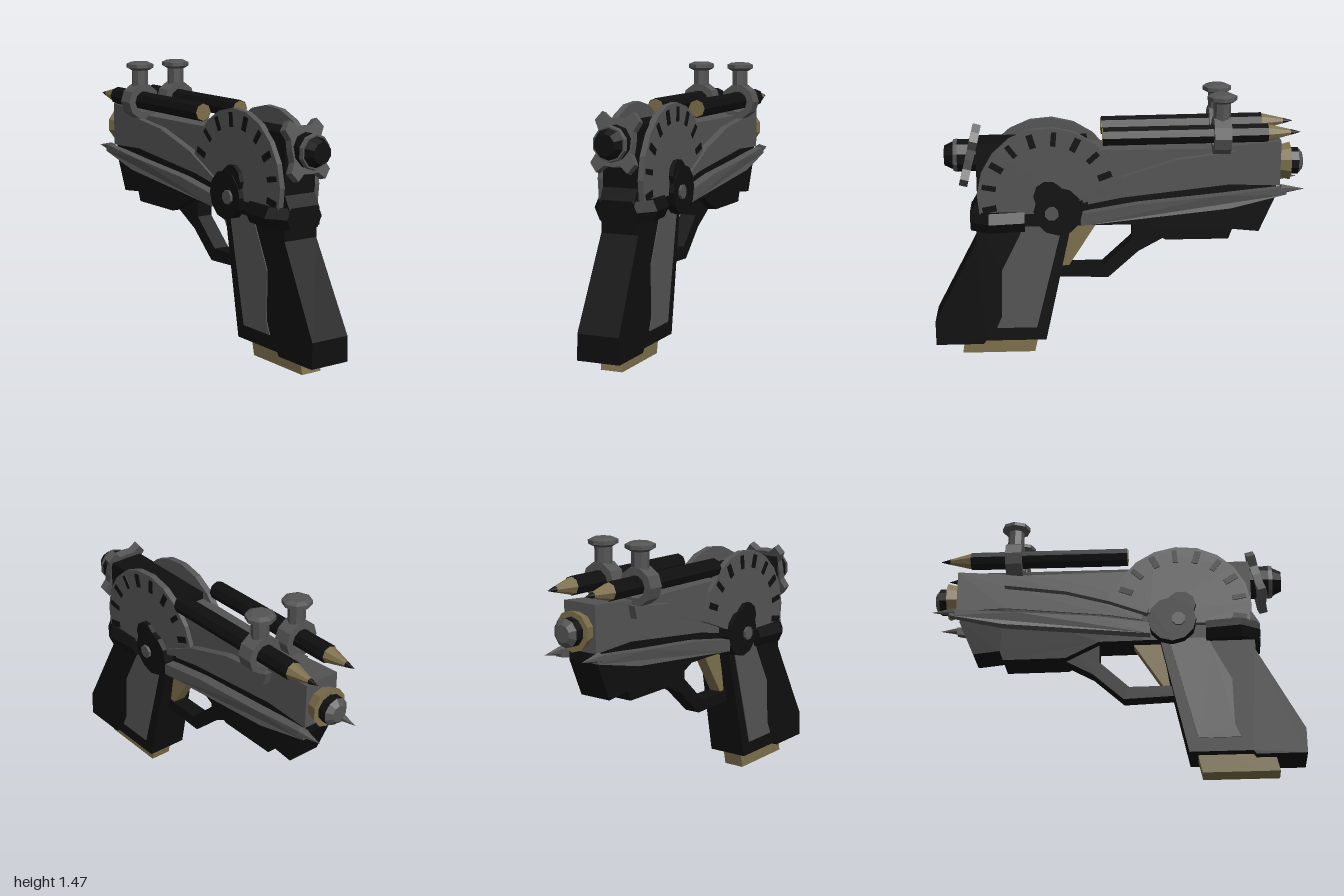
import * as THREE from 'three';

const black = new THREE.MeshStandardMaterial({ color: 0x0f0f0f });
black.name = 'black';
const grey = new THREE.MeshStandardMaterial({ color: 0x545454 });
grey.name = 'grey';
const tan = new THREE.MeshStandardMaterial({ color: 0x7d704c });
tan.name = 'tan';

export function createModel() {
  const model = new THREE.Group();
  model.name = 'pistol';

  // Adds a faceted mesh; an optional rule moves each vertex first
  function add(name, geometry, material, rule) {
    const g = geometry.index ? geometry.toNonIndexed() : geometry;
    if (rule) {
      const p = g.attributes.position, v = new THREE.Vector3();
      for (let i = 0; i < p.count; i++) {
        rule(v.fromBufferAttribute(p, i));
        p.setXYZ(i, v.x, v.y, v.z);
      }
    }
    g.computeVertexNormals();
    const mesh = new THREE.Mesh(g, material);
    mesh.name = name;
    model.add(mesh);
    return mesh;
  }

  // Side profile of [z, y] points, extruded from x0 to x1
  function profile(points, x0, x1) {
    const shape = new THREE.Shape(points.map(([z, y]) => new THREE.Vector2(-z, y)));
    return new THREE.ExtrudeGeometry(shape, { depth: x1 - x0, bevelEnabled: false })
      .translate(0, 0, x0).rotateY(Math.PI / 2);
  }
  const slab = (points, half) => profile(points, -half, half);
  const plate = (points, s, a, b) => profile(points, Math.min(s * a, s * b), Math.max(s * a, s * b));

  // Regular polygon of [u, v] points
  const ngon = (u, v, r, n, turn = 0) => Array.from({ length: n }, (_, i) => {
    const a = turn + i / n * Math.PI * 2;
    return [u + r * Math.cos(a), v + r * Math.sin(a)];
  });
  const toVectors = (points) => points.map(([a, b]) => new THREE.Vector2(a, b));

  // Cylinder along z: radius r0 at z0 (rear), r1 at z1 (muzzle side)
  const rod = (r0, r1, z0, z1, n) => new THREE.CylinderGeometry(r1, r0, z0 - z1, n)
    .rotateX(-Math.PI / 2).translate(0, 0, (z0 + z1) / 2);

  // Grip narrows towards the top
  const taper = (v) => { v.x *= 1 - 0.2 * Math.max(0, v.y - 0.1); };
  add('grip', slab([[0.76, 0.76], [0.76, 0.67], [1, 0.21], [1, 0.075], [0.74, 0.075],
    [0.725, 0.095], [0.395, 0.095], [0.25, 0.76]], 0.115), black, taper);
  for (const s of [1, -1]) {
    add('gripPanel', plate([[0.51, 0.75], [0.53, 0.7], [0.63, 0.5], [0.635, 0.24],
      [0.665, 0.17], [0.445, 0.17], [0.3, 0.75]], s, 0.1, 0.12), grey, taper);
  }
  add('magazine', slab([[0.86, 0], [0.46, 0], [0.435, 0.11], [0.835, 0.11]], 0.06), tan);

  // Trigger and guard
  add('trigger', slab([[0.26, 0.76], [0.3, 0.5], [0.265, 0.5], [0.1, 0.76]], 0.035), tan);
  add('triggerGuard', slab([[0.33, 0.5], [0.33, 0.44], [0.05, 0.43], [-0.115, 0.58], [-0.26, 0.66],
    [-0.26, 0.76], [-0.08, 0.76], [-0.08, 0.65], [0.08, 0.5]], 0.045), black);

  // Frame
  add('rearFrame', slab([[0.79, 0.74], [0.79, 0.83], [0.75, 0.9], [0.75, 1.21],
    [0.16, 1.21], [0.16, 0.75]], 0.095), black);
  add('lowerFrame', slab([[0.2, 0.75], [0.2, 0.9], [-0.6, 0.97], [-0.85, 0.96], [-0.85, 0.9],
    [-0.765, 0.7], [-0.62, 0.715], [-0.6, 0.66], [-0.26, 0.66], [-0.08, 0.75]], 0.092), black);
  add('body', slab([[0.16, 1.17], [-0.47, 1.17], [-0.87, 1.205], [-0.87, 0.96],
    [-0.6, 0.97], [-0.02, 0.905], [0.16, 0.87]], 0.1), grey);
  add('rearFlare', new THREE.BoxGeometry(2, 0.11, 0.29, 1, 2, 2).translate(0, 0.785, 0.645), black, (v) => {
    const half = v.z > 0.7 ? 0.11 : v.z > 0.6 ? 0.175 : 0.15;
    const edge = Math.abs(v.y - 0.785) > 0.03 ? 0.025 : 0;
    if (v.z > 0.6 && v.z < 0.7) v.z = 0.69;
    v.x = Math.sign(v.x) * (half - edge);
  });

  for (const s of [1, -1]) {
    // Dial with tick marks
    const dial = [];
    for (let i = 0; i <= 10; i++) {
      const a = (195 - i * 18.1) * Math.PI / 180;
      dial.push([0.37 - 0.38 * Math.cos(a), 0.92 + 0.38 * Math.sin(a)]);
    }
    dial.push([0.2, 0.9], [0.3, 0.82], [0.45, 0.83]);
    add('dial', plate(dial, s, 0.09, 0.125), grey);
    for (let i = 0; i < 9; i++) {
      const a = (191 - i * 21.25) * Math.PI / 180;
      const tick = add('dialTick', new THREE.BoxGeometry(0.008, 0.075, i % 2 ? 0.028 : 0.034), black);
      tick.position.set(s * 0.126, 0.92 + 0.32 * Math.sin(a), 0.37 - 0.32 * Math.cos(a));
      tick.rotation.x = a - Math.PI / 2;
    }

    // Pivot
    add('pivotHub', plate(ngon(0.32, 0.845, 0.13, 12), s, 0.09, 0.153), black);
    add('pivotLobe', plate(ngon(0.37, 0.93, 0.08, 10), s, 0.09, 0.15), black);
    add('pivotBolt', plate(ngon(0.355, 0.84, 0.038, 8, 0.39), s, 0.14, 0.167), grey);

    // Upper arm and lower spear
    add('upperArm', plate([[0.195, 0.92], [-0.02, 1.03], [-0.31, 1.12], [-0.62, 1.16], [-0.6, 1.09],
      [-0.26, 1.04], [-0.02, 0.97], [0.185, 0.89]], s, 0.08, 0.14), grey);
    add('spear', plate([[0.2, 0.83], [-0.1, 0.88], [-0.53, 0.92], [-0.9, 0.96], [-0.9, 0.92],
      [-0.6, 0.85], [-0.08, 0.795], [0.2, 0.765]], s, 0.085, 0.148), grey, (v) => {
      if (v.z < -0.7) v.x = s * (0.12 + (s * v.x - 0.12) * 0.6);
    });
    add('spearTip', new THREE.ConeGeometry(0.027, 0.13, 6).rotateX(-Math.PI / 2)
      .translate(s * 0.12, 0.947, -0.935), grey);

    // Side tube with pointed end
    const tube = (name, g, m) => {
      const mesh = add(name, g, m);
      mesh.position.set(s * 0.12, 1.25, 0);
      mesh.rotation.x = 0.012;
    };
    tube('sideTube', rod(0.05, 0.05, 0.08, -0.79, 8), black);
    tube('tubeRearCap', rod(0.046, 0.046, 0.084, 0.07, 8), tan);
    tube('tubeCone', rod(0.046, 0.016, -0.79, -0.91, 8), tan);
    tube('tubePoint', rod(0.016, 0.001, -0.91, -0.963, 8), black);

    // Clamp ring, post and knob
    const ring = new THREE.Shape(toVectors(ngon(0, 0, 0.1, 10)));
    ring.holes.push(new THREE.Path(toVectors(ngon(0, 0, 0.06, 10))));
    add('clampRing', new THREE.ExtrudeGeometry(ring, { depth: 0.09, bevelEnabled: false })
      .translate(s * 0.12, 1.25, -0.59), grey);
    add('clampPost', new THREE.CylinderGeometry(0.046, 0.046, 0.12, 8).translate(s * 0.12, 1.385, -0.545), grey);
    add('clampKnob', new THREE.LatheGeometry(toVectors([[0, 1.425], [0.05, 1.425], [0.078, 1.44],
      [0.078, 1.46], [0.05, 1.472], [0, 1.472]]), 8).translate(s * 0.12, 0, -0.545), grey);
  }

  // Muzzle
  const muzzle = (name, g, m) => { add(name, g, m).position.y = 1.07; };
  muzzle('muzzleCollar', rod(0.085, 0.105, -0.86, -0.93, 10), tan);
  muzzle('muzzleBarrel', rod(0.075, 0.075, -0.92, -0.975, 10), black);
  muzzle('muzzleCap', rod(0.075, 0.045, -0.975, -1, 10), grey);

  // Tilted lobed ring with knob at the rear
  const lobes = [];
  for (let i = 0; i < 4; i++) {
    for (const [turn, r] of [[-10, 0.185], [10, 0.185], [20, 0.13], [45, 0.122], [70, 0.13]]) {
      const a = (45 + 90 * i + turn) * Math.PI / 180;
      lobes.push([0.8 * r * Math.cos(a), r * Math.sin(a)]);
    }
  }
  const rear = (name, g, m) => {
    const mesh = add(name, g, m);
    mesh.position.set(0, 1.125, 0.785);
    mesh.rotation.x = -0.25;
  };
  rear('rearRing', new THREE.ExtrudeGeometry(new THREE.Shape(toVectors(lobes)),
    { depth: 0.045, bevelEnabled: false }).translate(0, 0, -0.022), grey);
  const knob = (name, g, m) => { add(name, g, m).position.y = 1.125; };
  knob('rearKnobBase', rod(0.09, 0.09, 0.85, 0.74, 10), black);
  knob('rearKnobBand', rod(0.088, 0.093, 0.872, 0.85, 10), grey);
  knob('rearKnob', rod(0.055, 0.08, 0.92, 0.87, 10), black);

  return model;
}
